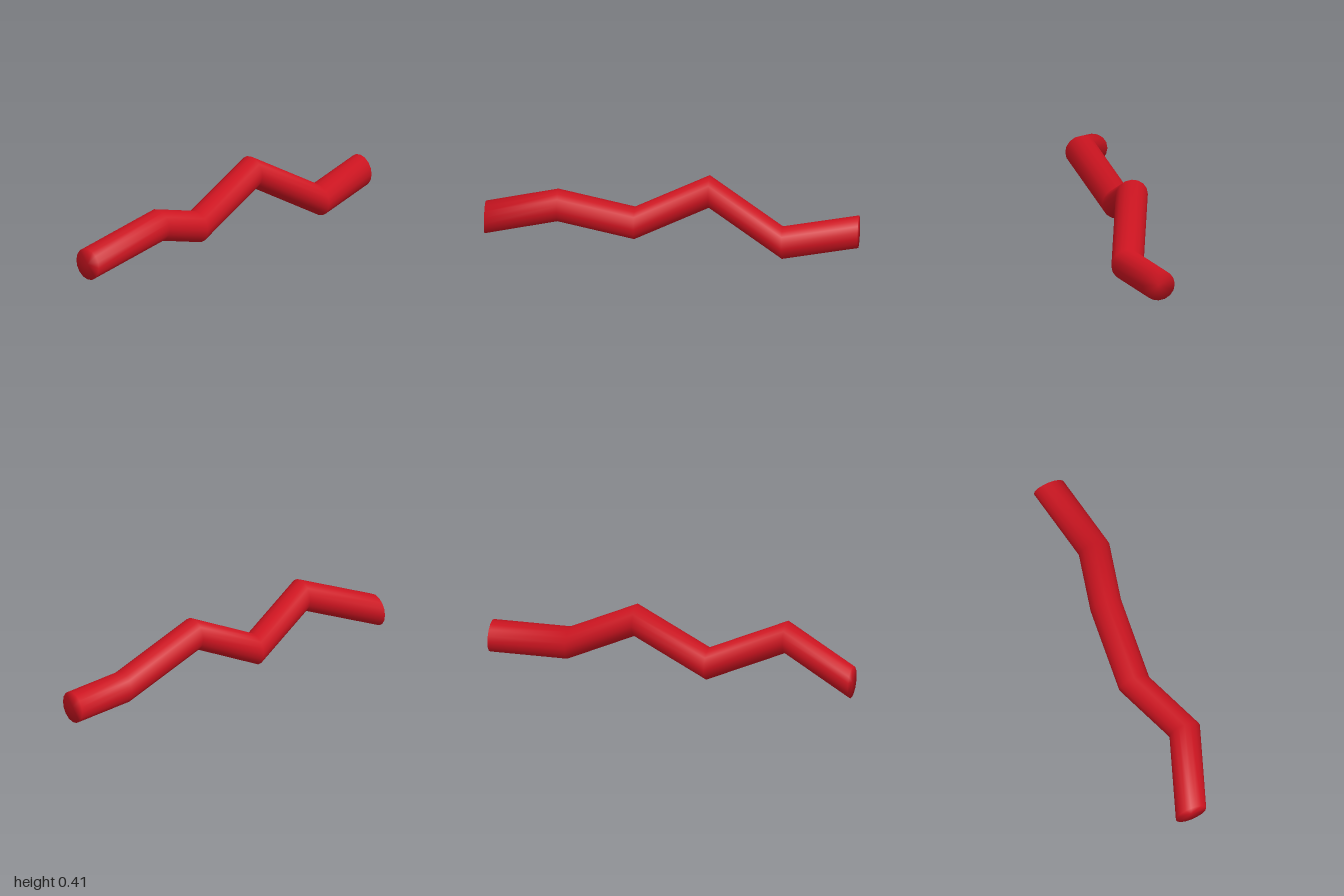
import * as THREE from 'three';

const SIDES = 16;
const RADIUS = 0.0875;

// Centres of the rings along the bent rod
const CENTRES = [
  [-1, 0.122, -0.065],
  [-0.6, 0.275, 0.062],
  [-0.2, 0.122, -0.065],
  [0.2, 0.327, -0.065],
  [0.6, 0.0875, 0.031],
  [1, 0.122, -0.065],
];

// Sweeps upright round sections (all facing along x) through the centres
function zigzagRod(centres) {
  const positions = [];
  const index = [];
  for (const [x, y, z] of centres) {
    for (let j = 0; j < SIDES; j++) {
      const a = (j / SIDES) * Math.PI * 2;
      positions.push(x, y + RADIUS * Math.cos(a), z + RADIUS * Math.sin(a));
    }
  }

  // Side walls
  const last = centres.length - 1;
  for (let i = 0; i < last; i++) {
    for (let j = 0; j < SIDES; j++) {
      const a = i * SIDES + j;
      const b = i * SIDES + ((j + 1) % SIDES);
      index.push(a, b, a + SIDES, b, b + SIDES, a + SIDES);
    }
  }

  // End caps, sharing the rim so the shading runs softly over the edge
  const startCentre = positions.length / 3;
  positions.push(...centres[0], ...centres[last]);
  for (let j = 0; j < SIDES; j++) {
    const k = (j + 1) % SIDES;
    index.push(startCentre, k, j);
    index.push(startCentre + 1, last * SIDES + j, last * SIDES + k);
  }

  const geometry = new THREE.BufferGeometry();
  geometry.setAttribute('position', new THREE.Float32BufferAttribute(positions, 3));
  geometry.setIndex(index);
  geometry.computeVertexNormals();
  return geometry;
}

export function createModel() {
  const group = new THREE.Group();
  group.name = 'bentRod';
  const rod = new THREE.Mesh(
    zigzagRod(CENTRES),
    new THREE.MeshStandardMaterial({ color: 0xcc1420 })
  );
  rod.name = 'zigzagRod';
  group.add(rod);
  return group;
}
